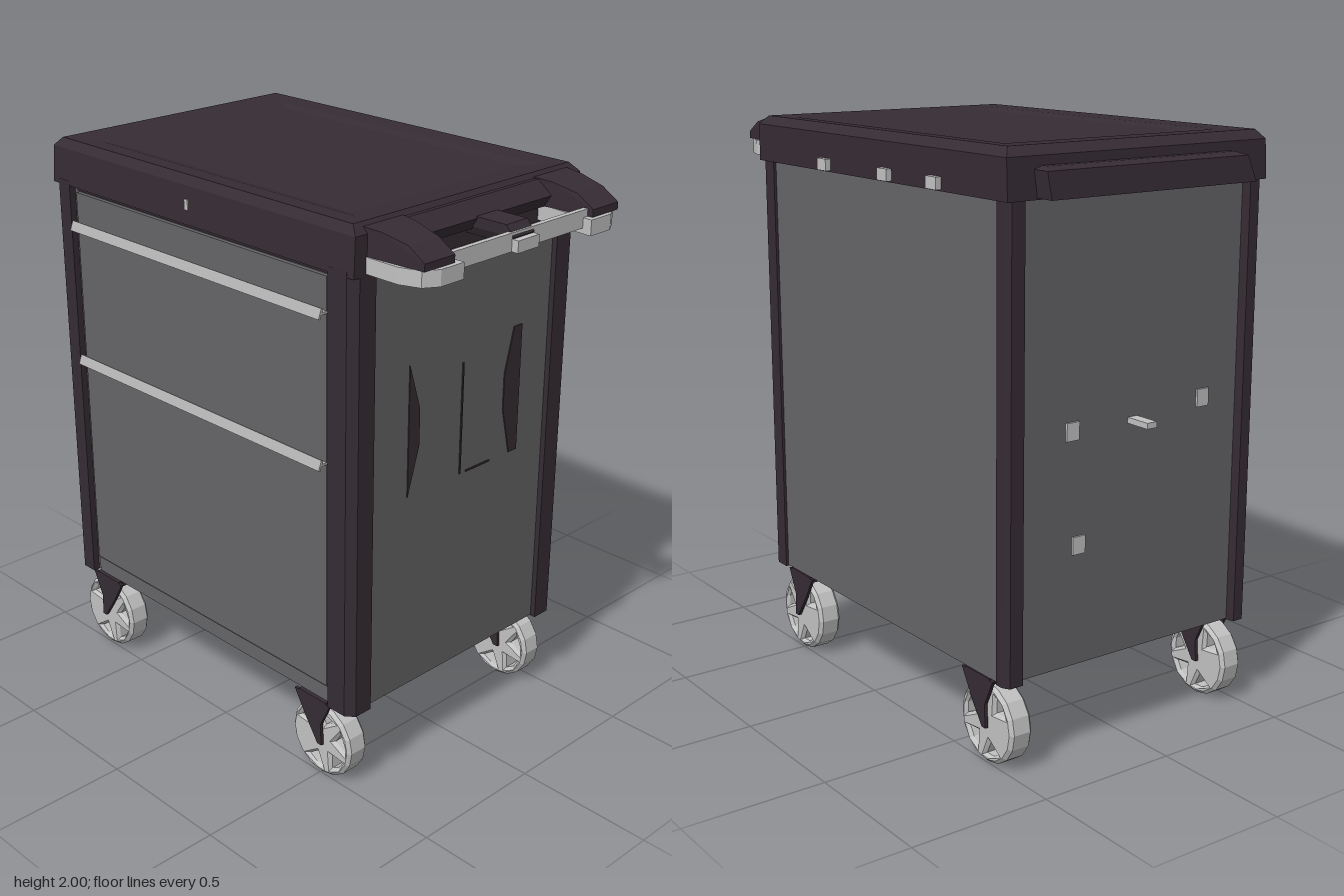
import * as THREE from 'three';

const flat = (name, color, side = THREE.FrontSide) => {
  const m = new THREE.MeshStandardMaterial({ color, side, flatShading: true });
  m.name = name;
  return m;
};

export function createModel() {
  const dark = flat('dark plum plastic', 0x362c34);
  const grey = flat('grey sheet metal', 0x656466);
  const silver = flat('silver', 0xc2c2c2);
  const bright = flat('drawer pull grey', 0xb4b4b4);
  const root = new THREE.Group();
  root.name = 'toolCart';

  const add = (name, geo, mat, parent = root) => {
    const m = new THREE.Mesh(geo, mat);
    m.name = name;
    parent.add(m);
    return m;
  };
  // box given by its limits on each axis
  const box = (name, mat, x0, x1, y0, y1, z0, z1, parent) => {
    const g = new THREE.BoxGeometry(x1 - x0, y1 - y0, z1 - z0);
    g.translate((x0 + x1) / 2, (y0 + y1) / 2, (z0 + z1) / 2);
    return add(name, g, mat, parent);
  };
  const shape = pts => new THREE.Shape(pts.map(p => new THREE.Vector2(...p)));
  const extrude = (s, depth, bevel = 0) => new THREE.ExtrudeGeometry(s, {
    depth, bevelEnabled: bevel > 0, bevelSize: bevel, bevelThickness: bevel, bevelOffset: -bevel, bevelSegments: 1, curveSegments: 5,
  });
  // closed stack of rectangular rings [x0, x1, y, z0, z1], bottom to top
  const loft = rings => {
    const pos = [], idx = [], n = rings.length;
    for (const [x0, x1, y, z0, z1] of rings) pos.push(x0, y, z1, x1, y, z1, x1, y, z0, x0, y, z0);
    for (let r = 0; r < n - 1; r++) for (let i = 0; i < 4; i++) {
      const a = r * 4 + i, b = r * 4 + (i + 1) % 4;
      idx.push(a, b, b + 4, a, b + 4, a + 4);
    }
    const t = (n - 1) * 4;
    idx.push(0, 2, 1, 0, 3, 2, t, t + 1, t + 2, t, t + 2, t + 3);
    const g = new THREE.BufferGeometry();
    g.setAttribute('position', new THREE.Float32BufferAttribute(pos, 3));
    g.setIndex(idx);
    const out = g.toNonIndexed();
    out.computeVertexNormals();
    return out;
  };

  // cabinet and its front
  box('cabinet', grey, -0.795, 0.65, 0.31, 1.86, -0.515, 0.5);
  box('bottomRail', grey, -0.72, 0.55, 0.312, 0.37, 0.5, 0.508);
  for (const [y0, y1] of [[0.378, 1.192], [1.2, 1.697], [1.705, 1.82]])
    box('drawerFront', grey, -0.715, 0.545, y0, y1, 0.5, 0.515);
  for (const y of [1.705, 1.2]) {
    const pull = box('drawerPull', bright, -0.715, 0.545, -0.018, 0.018, -0.004, 0.004);
    pull.position.set(0, y, 0.54);
    pull.rotation.x = -0.35;
    box('pullMount', bright, -0.715, 0.545, y - 0.004, y + 0.004, 0.51, 0.538);
  }
  box('frontTopGap', dark, -0.72, 0.55, 1.825, 1.84, 0.5, 0.506);

  // chamfered corner posts, plan profile as (x, z)
  const post = (name, pts) => {
    const g = extrude(shape(pts.map(([x, z]) => [x, -z])), 1.55);
    g.rotateX(-Math.PI / 2);
    g.translate(0, 0.307, 0);
    add(name, g, dark);
  };
  post('frontLeftPost', [[0.56, 0.45], [0.56, 0.525], [0.64, 0.525], [0.67, 0.5], [0.67, 0.43], [0.6, 0.43]]);
  post('backLeftPost', [[0.58, -0.45], [0.58, -0.525], [0.64, -0.525], [0.67, -0.5], [0.67, -0.43], [0.6, -0.43]]);
  post('frontRightPost', [[-0.74, 0.45], [-0.74, 0.525], [-0.8, 0.525], [-0.825, 0.5], [-0.825, 0.46], [-0.78, 0.45]]);
  post('backRightPost', [[-0.77, -0.45], [-0.77, -0.525], [-0.8, -0.525], [-0.825, -0.51], [-0.825, -0.46], [-0.78, -0.45]]);

  // lid with a shallow tray
  add('lid', loft([
    [-0.83, 0.67, 1.84, -0.53, 0.525],
    [-0.825, 0.67, 1.97, -0.53, 0.52],
    [-0.795, 0.64, 2.0, -0.505, 0.5],
    [-0.68, 0.58, 1.995, -0.43, 0.43],
    [-0.6, 0.52, 1.985, -0.39, 0.39],
  ]), dark);
  add('sideLip', loft([
    [-0.9, -0.8, 1.845, -0.42, 0.41],
    [-0.89, -0.8, 1.93, -0.43, 0.38],
    [-0.85, -0.8, 1.94, -0.4, 0.36],
  ]), dark);
  box('lock', silver, -0.105, -0.088, 1.89, 1.925, 0.52, 0.527);
  for (const x of [-0.46, -0.18, 0.2])
    box('hinge', silver, x - 0.028, x + 0.028, 1.845, 1.885, -0.55, -0.525);

  // push handle
  const handle = new THREE.Group();
  handle.name = 'pushHandle';
  root.add(handle);
  add('handleBase', loft([[0.65, 0.7, 1.9, -0.47, 0.47], [0.65, 0.725, 1.94, -0.46, 0.46], [0.64, 0.67, 1.985, -0.46, 0.46]]), dark, handle);
  for (const s of [1, -1]) {
    const arm = extrude(shape([[0.62, 1.9], [0.885, 1.9], [0.885, 1.925], [0.82, 1.965], [0.72, 1.985], [0.62, 1.99]]), 0.13);
    // flare the arm toward the lid
    const p = arm.attributes.position;
    for (let i = 0; i < p.count; i++) {
      const k = Math.max(0, (0.8 - p.getX(i)) / 0.18);
      p.setZ(i, p.getZ(i) + (p.getZ(i) > 0.06 ? 0.02 : -0.03) * k);
    }
    arm.translate(0, 0, s * 0.39 - 0.065);
    arm.computeVertexNormals();
    add('handleArm', arm, dark, handle);

    const under = extrude(shape([[0.66, 0.32], [0.9, 0.3], [0.9, 0.4], [0.87, 0.45], [0.8, 0.475], [0.66, 0.475]]
      .map(([x, z]) => [x, -s * z])), 0.053);
    under.rotateX(-Math.PI / 2);
    under.translate(0, 1.847, 0);
    add('armUnderside', under, silver, handle);
  }
  box('handleBar', silver, 0.847, 0.865, 1.865, 1.925, -0.33, 0.33, handle);
  add('centreArm', loft([[0.66, 0.85, 1.88, -0.04, 0.03], [0.66, 0.87, 1.91, -0.055, 0.045], [0.66, 0.84, 1.945, -0.055, 0.045]]), dark, handle);
  box('centreClip', silver, 0.85, 0.89, 1.865, 1.905, -0.055, 0.045, handle);

  // recessed grip marks on the handle side
  const mark = (name, pts) => {
    const g = extrude(shape(pts.map(([z, y]) => [-z, y])), 0.006);
    g.rotateY(Math.PI / 2);
    g.translate(0.648, 0, 0);
    add(name, g, dark);
  };
  mark('frontGrip', [[0.255, 1.03], [0.205, 1.2], [0.205, 1.33], [0.255, 1.49]]);
  mark('backGrip', [[-0.29, 1.03], [-0.29, 1.49], [-0.25, 1.49], [-0.21, 1.33], [-0.21, 1.2], [-0.25, 1.03]]);
  mark('centreSeam', [[0.003, 1.03], [-0.003, 1.03], [-0.003, 1.43], [0.003, 1.43]]);
  mark('lowerSeam', [[-0.03, 1.028], [-0.15, 1.028], [-0.15, 1.034], [-0.03, 1.034]]);

  // small hooks on the opposite side
  box('hook', silver, -0.89, -0.79, 1.09, 1.11, -0.02, 0.02);
  for (const [y, z] of [[1.1, -0.25], [0.72, -0.22], [1.13, 0.3]])
    box('hookPlate', silver, -0.803, -0.795, y - 0.03, y + 0.03, z - 0.025, z + 0.025);

  // casters: spoked wheels between fork plates
  const ring = (r, n, a0 = 0) => Array.from({ length: n }, (_, i) =>
    [r * Math.cos(a0 + i * 2 * Math.PI / n), r * Math.sin(a0 + i * 2 * Math.PI / n)]);
  const rim = shape(ring(0.14, 16));
  for (let i = 0; i < 6; i++) {
    const at = (r, a) => new THREE.Vector2(r * Math.cos(a), r * Math.sin(a));
    const a = i * Math.PI / 3 + 0.25;
    rim.holes.push(new THREE.Path([at(0.065, a), at(0.112, a - 0.33), at(0.115, a), at(0.112, a + 0.33)]));
  }
  const wheelGeo = extrude(rim, 0.064, 0.012).translate(0, 0, -0.032);
  const forkGeo = extrude(shape([[-0.11, 0.165], [-0.06, 0.08], [0.0, -0.01], [0.02, -0.01], [0.015, 0.07], [0.06, 0.165]]), 0.012);
  for (const x of [-0.685, 0.505]) for (const s of [1, -1]) {
    const caster = new THREE.Group();
    caster.name = 'caster';
    caster.position.set(x, 0.14, s * 0.46);
    root.add(caster);
    add('wheel', wheelGeo, silver, caster);
    for (const z of [-0.06, 0.048]) {
      const f = add('fork', forkGeo, dark, caster);
      f.position.z = z;
      // right pair turns the other way
      if (x < 0) { f.rotation.y = Math.PI; f.position.z = z + 0.012; }
    }
    box('swivelPlate', dark, x < 0 ? -0.04 : -0.09, x < 0 ? 0.09 : 0.04, 0.145, 0.17, -0.06, 0.06, caster);
  }
  return root;
}
